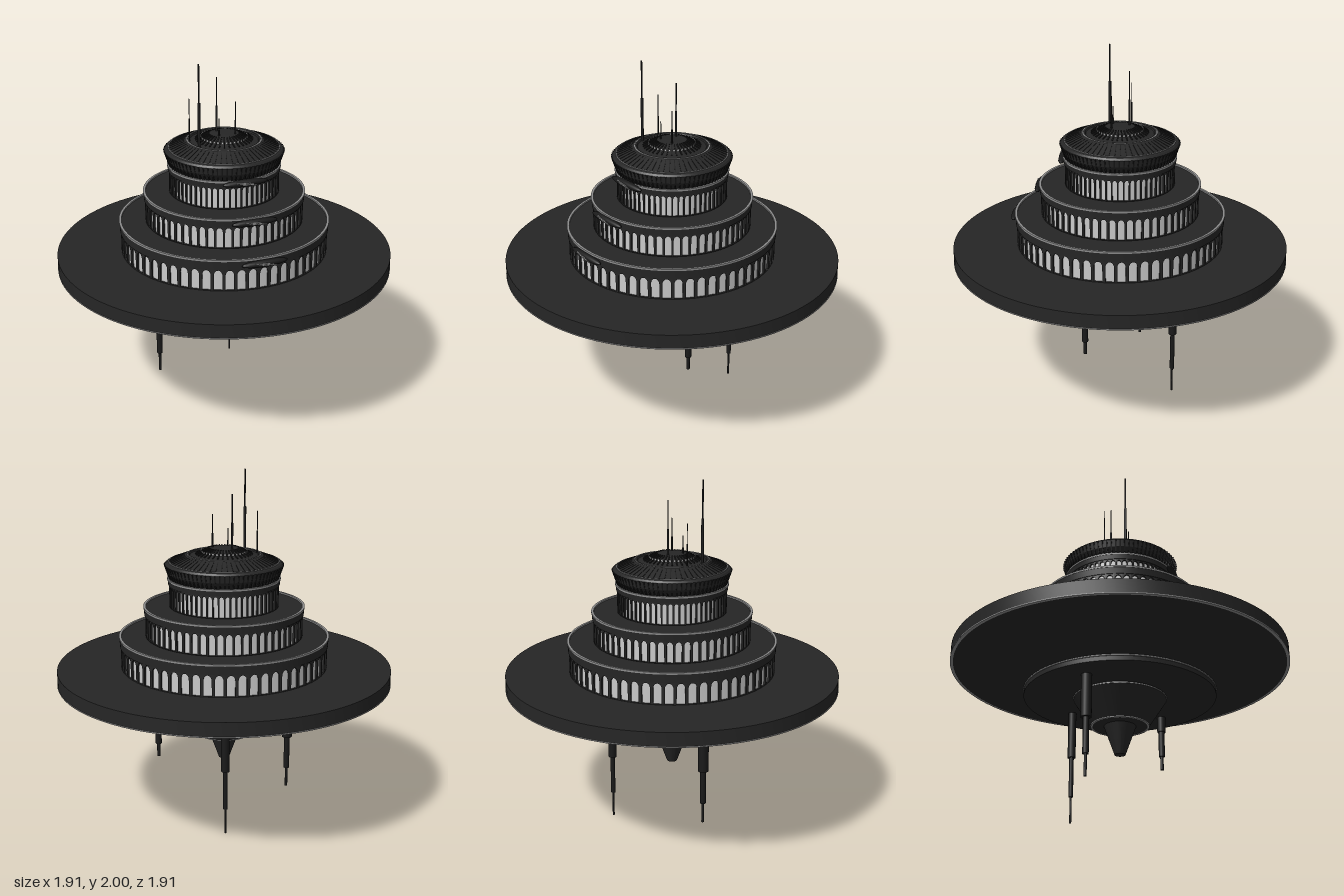
import * as THREE from 'three';
import { mergeGeometries, toCreasedNormals } from 'three/addons/utils/BufferGeometryUtils.js';

const material = (color) => new THREE.MeshStandardMaterial({ color });
const dark = material(0x262626);
const black = material(0x1a1a1a);
const trim = material(0x8c8c8c);
const pale = material(0xcccccc);

export function createModel() {
  const model = new THREE.Group();

  const add = (name, geometry, mat, parent = model) => {
    const mesh = new THREE.Mesh(geometry, mat);
    mesh.name = name;
    parent.add(mesh);
    return mesh;
  };

  // Turned part; profile is [radius, y] running up the outside
  const turned = (name, profile, mat, parent) => {
    const points = profile.map(([r, y]) => new THREE.Vector2(r, y));
    return add(name, toCreasedNormals(new THREE.LatheGeometry(points, 120), 0.3), mat, parent);
  };

  // Thin raised ring with a rectangular section
  const ring = (name, r0, r1, y0, y1, parent) =>
    turned(name, [[r0, y0], [r1, y0], [r1, y1], [r0, y1], [r0, y0]], trim, parent);

  // Copies of one geometry, made facing +z, spread around the axis
  const around = (geometry, count) => {
    const copies = [];
    for (let i = 0; i < count; i++) {
      copies.push(geometry.clone().rotateY((i / count) * Math.PI * 2));
    }
    return mergeGeometries(copies);
  };

  // Saucer hull with its stepped underside
  turned('hull', [
    [0, 0.65], [0.54, 0.65], [0.54, 0.675], [0.53, 0.685], [0.945, 0.82],
    [0.955, 0.82], [0.955, 0.9], [0, 0.9],
  ], dark);
  ring('hullLowerTrim', 0.94, 0.957, 0.818, 0.824);
  ring('keelTrim', 0.525, 0.543, 0.677, 0.684);
  turned('lowerCone', [[0, 0.485], [0.16, 0.485], [0.26, 0.64], [0.26, 0.652], [0, 0.652]], dark);
  ring('lowerConeTrim', 0.25, 0.263, 0.641, 0.646);
  ring('lowerConeFootTrim', 0.152, 0.163, 0.483, 0.488);
  turned('nose', [[0, 0.32], [0.03, 0.32], [0.09, 0.487], [0, 0.487]], dark);

  // One flat wall bay with an arched opening
  const bayGeometry = (radius, count, height) => {
    const w = radius * Math.tan(Math.PI / count);
    const o = w * 0.72;
    const shape = new THREE.Shape();
    shape.moveTo(-w, 0).lineTo(w, 0).lineTo(w, height).lineTo(-w, height).closePath();
    const arch = new THREE.Path();
    arch.moveTo(-o, 0.003).lineTo(-o, height - 0.008 - o * 1.3);
    arch.absellipse(0, height - 0.008 - o * 1.3, o, o * 1.3, Math.PI, 0, true);
    arch.lineTo(o, 0.003).closePath();
    shape.holes.push(arch);
    const bay = new THREE.ExtrudeGeometry(shape, { depth: 0.01, bevelEnabled: false, curveSegments: 8 });
    return bay.translate(0, 0, radius - 0.01);
  };

  // Three windowed tiers, each with a cornice, rim and front vent
  const tiers = [
    { name: 'lowerTier', r: 0.59, y: 0.9, h: 0.18, vent: 1.05 },
    { name: 'middleTier', r: 0.448, y: 1.08, h: 0.17, vent: 1.225 },
    { name: 'upperTier', r: 0.31, y: 1.25, h: 0.16, vent: 1.398 },
  ];
  for (const { name, r, y, h, vent } of tiers) {
    const tier = new THREE.Group();
    tier.name = name;
    model.add(tier);
    add('windowWall', around(bayGeometry(r, 60, 0.127), 60), dark, tier).position.y = y;
    turned('windowGlass', [[r - 0.012, y], [r - 0.012, y + 0.13]], pale, tier);
    turned('cornice', [
      [r - 0.02, y + 0.125], [r + 0.005, y + 0.125], [r + 0.008, y + h - 0.006], [0, y + h - 0.006],
    ], dark, tier);
    ring('rim', r - 0.004, r + 0.01, y + h - 0.007, y + h + 0.003, tier);

    const unit = new THREE.Group();
    unit.name = 'frontVent';
    unit.position.set(0, vent, r + 0.008);
    tier.add(unit);
    add('ventPod', new THREE.SphereGeometry(1, 24, 12).scale(0.13, 0.02, 0.024), black, unit);
    for (let i = -1; i <= 1; i++) {
      const slat = add('ventSlat', new THREE.BoxGeometry(0.08, 0.004, 0.008), trim, unit);
      slat.position.set(i * 0.018, -i * 0.007, 0.02);
      slat.rotation.z = -0.08;
    }
  }

  // Flared head with a shallow stepped roof
  turned('head', [
    [0.28, 1.4], [0.3, 1.415], [0.325, 1.45], [0.333, 1.49], [0.325, 1.5],
    [0.285, 1.515], [0.21, 1.546], [0.195, 1.546], [0.19, 1.54], [0.165, 1.543],
    [0.08, 1.58], [0, 1.582],
  ], dark);
  const rib = new THREE.BoxGeometry(0.007, 0.08, 0.012).rotateX(0.33).translate(0, 1.453, 0.32);
  add('headRibs', around(rib, 80), black);
  const roofRib = new THREE.BoxGeometry(0.004, 0.005, 0.09).rotateX(0.37).translate(0, 1.524, 0.262);
  add('roofRibs', around(roofRib, 60), black);
  ring('roofOuterTrim', 0.309, 0.313, 1.502, 1.508);
  ring('roofInnerTrim', 0.204, 0.211, 1.542, 1.548);

  // Radial fins and small lights on the cap
  const fin = new THREE.BoxGeometry(0.007, 0.008, 0.085).rotateX(0.41).translate(0, 1.563, 0.122);
  add('capFins', around(fin, 36), black);
  const light = new THREE.BoxGeometry(0.011, 0.012, 0.002).translate(0, 1.563, 0.13);
  const lights = add('capLights', around(light, 36), pale);
  lights.rotation.y = Math.PI / 36;

  // Stepped mast; steps are [radius, fromY, toY]
  const mast = (name, x, z, steps) => {
    const group = new THREE.Group();
    group.name = name;
    group.position.set(x, 0, z);
    model.add(group);
    for (const [r, a, b] of steps) {
      const section = add('mastSection', new THREE.CylinderGeometry(r, r, Math.abs(b - a), 16), black, group);
      section.position.y = (a + b) / 2;
    }
  };

  // Roof antennas: x, z, top
  const antennas = [
    [-0.172, 0.073, 2, 0.008], [-0.025, -0.05, 1.885, 0.006], [0.05, 0.042, 1.765, 0.005],
    [-0.185, -0.05, 1.78, 0.004], [-0.046, 0.042, 1.68, 0.005],
  ];
  for (const [x, z, top, r] of antennas) {
    const base = 1.53;
    const step = base + (top - base) * 0.55;
    mast('roofAntenna', x, z, [[r, base, step], [r * 0.55, step, top]]);
  }

  // Masts hanging below the hull
  mast('rightHangingMast', -0.378, -0.093, [[0.03, 0.66, 0.41], [0.017, 0.41, 0.21], [0.008, 0.21, 0.09]]);
  mast('rearHangingMast', 0.16, -0.322, [[0.023, 0.66, 0.38], [0.013, 0.38, 0.15], [0.006, 0.15, 0]]);
  mast('leftHangingMast', 0.348, 0.167, [[0.025, 0.66, 0.56], [0.018, 0.56, 0.41], [0.01, 0.41, 0.33]]);

  return model;
}
